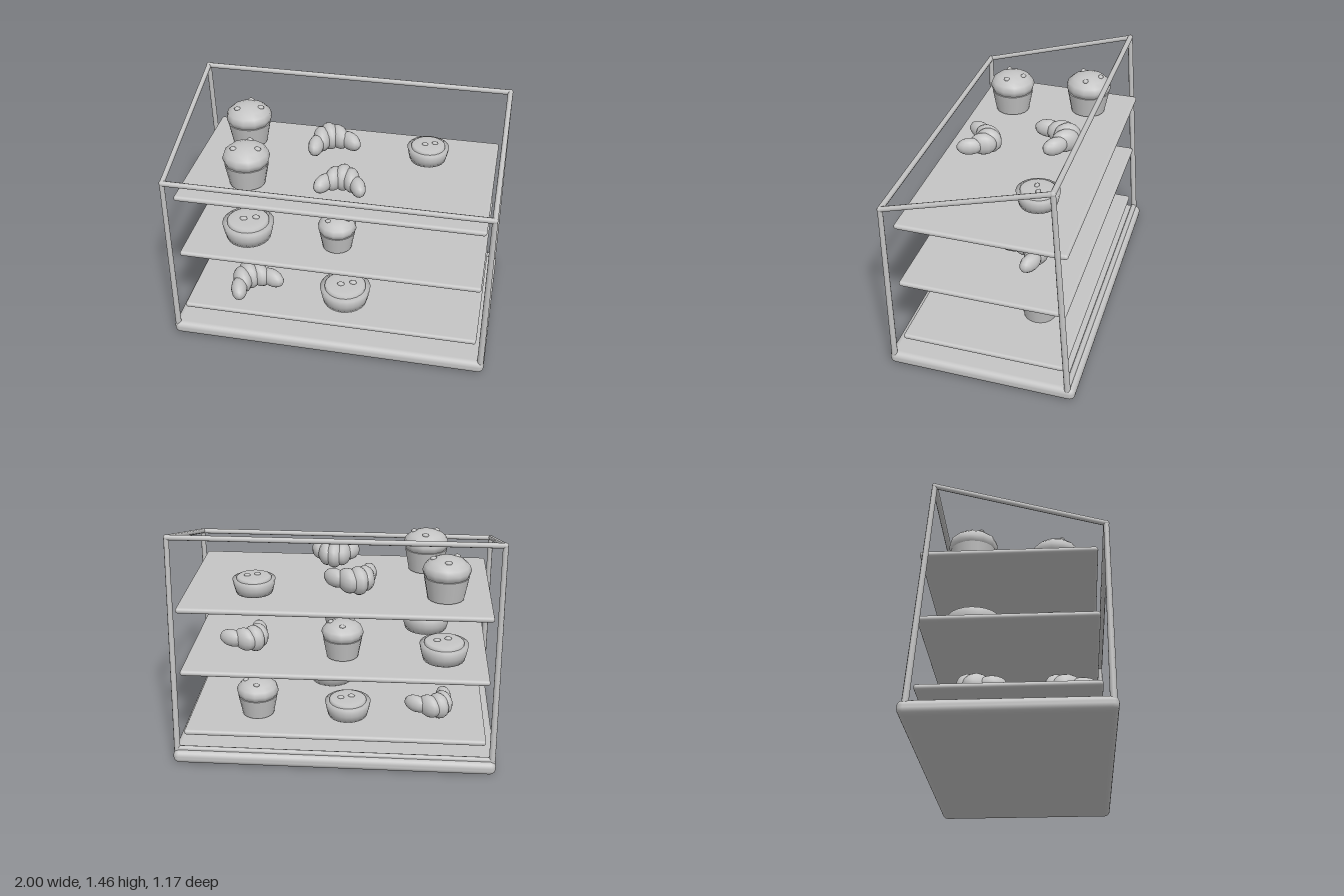
import * as THREE from 'three';
import { RoundedBoxGeometry } from 'three/addons/geometries/RoundedBoxGeometry.js';

const grey = new THREE.MeshStandardMaterial({ color: 0xc4c4c4 });
grey.name = 'plain grey';

function add(parent, name, geometry, x = 0, y = 0, z = 0) {
  const mesh = new THREE.Mesh(geometry, grey);
  mesh.name = name;
  mesh.position.set(x, y, z);
  parent.add(mesh);
  return mesh;
}

function ellipsoid(parent, name, pos, size, w = 12, h = 9) {
  const mesh = add(parent, name, new THREE.SphereGeometry(1, w, h), ...pos);
  mesh.scale.set(...size);
  return mesh;
}

// Tapered round bar between two points
function rod(parent, name, a, b, ra, rb = ra) {
  const from = new THREE.Vector3(...a), to = new THREE.Vector3(...b);
  const dir = to.clone().sub(from);
  const mesh = add(parent, name, new THREE.CylinderGeometry(rb, ra, dir.length(), 8));
  mesh.position.copy(from).lerp(to, 0.5);
  mesh.quaternion.setFromUnitVectors(new THREE.Vector3(0, 1, 0), dir.normalize());
}

function place(parent, name, x, y, z, turn) {
  const g = new THREE.Group();
  g.name = name;
  g.position.set(x, y, z);
  g.rotation.y = turn;
  parent.add(g);
  return g;
}

// Flared cup, domed cap and three berries; r is the cap radius
function muffin(parent, x, y, z, r, h, turn = 0) {
  const g = place(parent, 'muffin', x, y, z, turn);
  const cup = h * 0.53;
  add(g, 'paperCup', new THREE.CylinderGeometry(r * 0.93, r * 0.75, cup, 20), 0, cup / 2, 0);
  ellipsoid(g, 'muffinCap', [0, h * 0.67, 0], [r, h * 0.32, r], 12, 8);
  for (const [bx, bz] of [[-0.03, -0.52], [0.55, 0.03], [-0.4, 0.36]]) {
    const by = h * (0.67 + 0.31 * Math.sqrt(1 - bx * bx - bz * bz));
    ellipsoid(g, 'berry', [bx * r, by, bz * r], [r * 0.15, r * 0.09, r * 0.12], 8, 6);
  }
}

// Shallow flared crust with a low domed filling and two berries
function tart(parent, x, y, z, r, turn = 0) {
  const g = place(parent, 'tart', x, y, z, turn);
  const h = r * 0.66;
  const profile = [[0, 0], [0.85, 0], [0.93, 0.3], [1, 0.66], [0.78, 0.66], [0, 0.64]];
  add(g, 'crust', new THREE.LatheGeometry(profile.map(([a, b]) => new THREE.Vector2(a * r, b * r)), 24));
  const dome = [[0.81, 0.62], [0.81, 0.74], [0.74, 0.79], [0.45, 0.81], [0, 0.82]];
  add(g, 'filling', new THREE.LatheGeometry(dome.map(([a, b]) => new THREE.Vector2(a * r, b * r)), 24));
  for (const [bx, bz] of [[-0.15, 0.1], [0.3, -0.08]]) {
    ellipsoid(g, 'berry', [bx * r, h + 0.17 * r, bz * r], [r * 0.15, r * 0.09, r * 0.11], 8, 6);
  }
}

// Five overlapping lobes fanned around a crescent
function croissant(parent, x, y, z, s, turn) {
  const g = place(parent, 'croissant', x, y, z, turn);
  for (let i = -2; i <= 2; i++) {
    const k = Math.abs(i);
    const lobe = ellipsoid(g, 'lobe',
      [i * 0.053 * s, 0.085 * s, (-0.045 + 0.023 * k * k) * s],
      [[0.058, 0.054, 0.047][k] * s, [0.083, 0.073, 0.055][k] * s, [0.085, 0.088, 0.085][k] * s]);
    lobe.rotation.y = i * 0.2;
  }
}

export function createModel() {
  const model = new THREE.Group();
  model.name = 'bakeryDisplayCase';

  // Base and shelves
  add(model, 'base', new RoundedBoxGeometry(2, 0.085, 1.17, 3, 0.036), 0, 0.0425, 0);
  for (const y of [0.18, 0.593, 1.006]) {
    add(model, 'shelf', new RoundedBoxGeometry(1.875, 0.034, 1.016, 3, 0.0165), 0, y, 0);
  }

  // Open frame with a sloping top
  for (const s of [-1, 1]) {
    const front = [s * 0.975, 1.145, 0.557], back = [s * 0.975, 1.438, -0.43];
    rod(model, 'frontPost', [s * 0.977, 0.06, 0.555], front, 0.02, 0.016);
    rod(model, 'backPost', [s * 0.977, 0.06, -0.54], back, 0.02, 0.016);
    rod(model, 'sideTopRail', front, back, 0.016);
    for (const p of [front, back]) ellipsoid(model, 'corner', p, [0.018, 0.018, 0.018], 8, 6);
  }
  rod(model, 'frontTopRail', [-0.975, 1.145, 0.557], [0.975, 1.145, 0.557], 0.017);
  rod(model, 'backTopRail', [-0.975, 1.438, -0.43], [0.975, 1.438, -0.43], 0.017);
  rod(model, 'backBottomRail', [-0.975, 0.089, -0.538], [0.975, 0.089, -0.538], 0.018);

  // Top shelf
  muffin(model, -0.66, 1.03, -0.23, 0.148, 0.265);
  muffin(model, -0.54, 1.03, 0.26, 0.145, 0.265, -0.15);
  croissant(model, -0.11, 1.03, -0.18, 1.05, 0.45);
  croissant(model, 0.05, 1.03, 0.275, 0.98, 0);
  tart(model, 0.505, 1.03, -0.218, 0.131);

  // Middle shelf
  tart(model, -0.665, 0.617, -0.22, 0.153);
  tart(model, -0.556, 0.617, 0.256, 0.163);
  muffin(model, -0.035, 0.617, -0.215, 0.132, 0.238);
  muffin(model, 0.015, 0.617, 0.25, 0.121, 0.22);
  croissant(model, 0.55, 0.625, -0.18, 1, 0.75);

  // Bottom shelf
  croissant(model, -0.62, 0.205, -0.2, 1, 0.6);
  croissant(model, -0.54, 0.205, 0.3, 1.1, 0.7);
  tart(model, -0.07, 0.203, -0.225, 0.146);
  tart(model, 0.07, 0.203, 0.273, 0.163);
  muffin(model, 0.505, 0.203, -0.237, 0.134, 0.24);

  return model;
}
